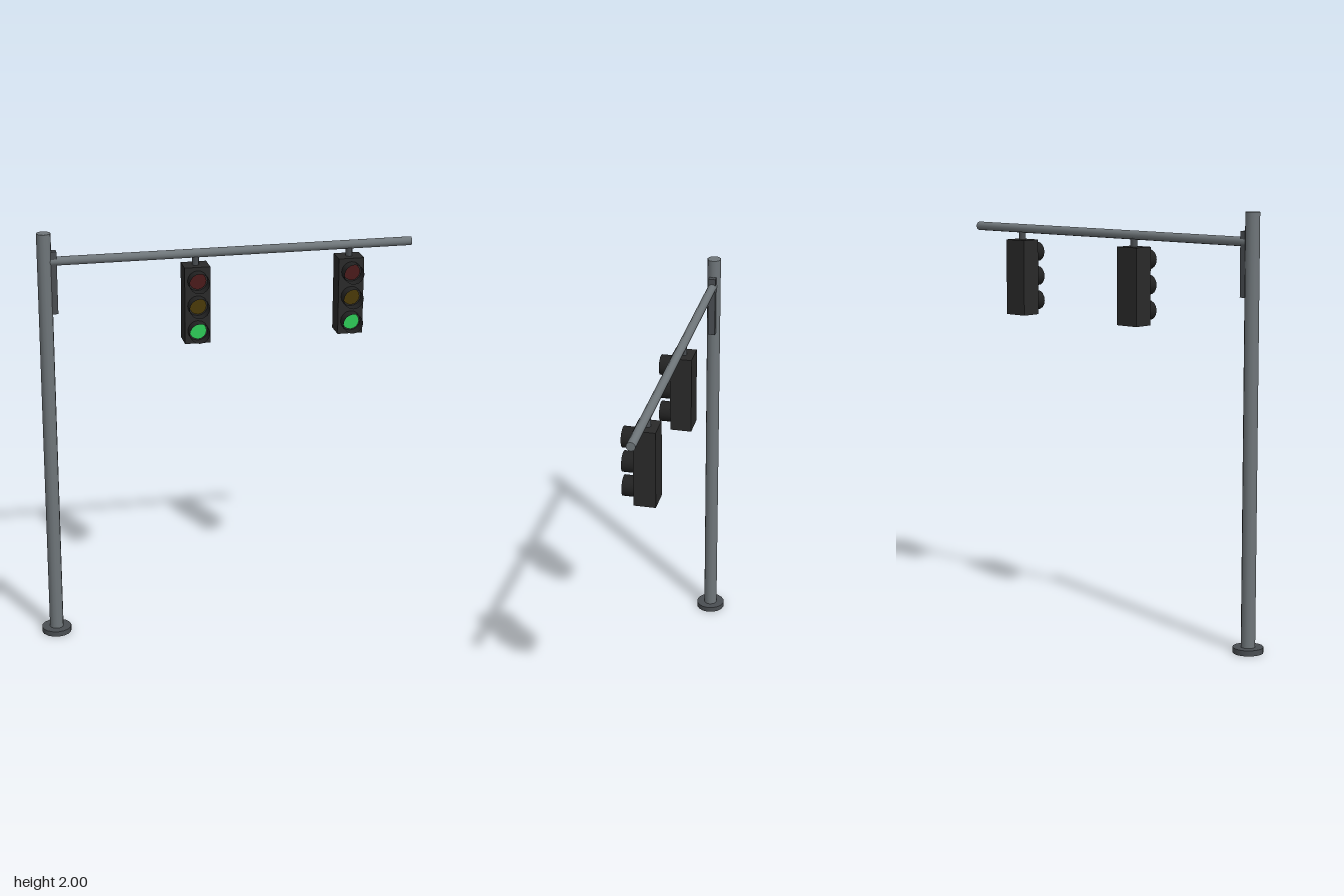
import * as THREE from 'three';

const material = (name, color, side = THREE.FrontSide) => {
  const m = new THREE.MeshStandardMaterial({ color, side });
  m.name = name;
  return m;
};

export function createModel() {
  const steel = material('grey steel', 0x6f767a);
  const darkSteel = material('dark steel', 0x4a4e52);
  const black = material('housing black', 0x2a2a2a);
  const hoodBlack = material('hood black', 0x222222, THREE.DoubleSide);
  const red = material('unlit red', 0x4a1a1a);
  const amber = material('unlit amber', 0x4a3a08);
  const green = material('lit green', 0x2ecc57);

  const model = new THREE.Group();
  model.name = 'trafficLight';
  const assembly = new THREE.Group();
  assembly.name = 'signalMast';
  assembly.position.z = -0.0165;
  model.add(assembly);

  const add = (parent, name, geometry, mat, x, y, z = 0) => {
    const mesh = new THREE.Mesh(geometry, mat);
    mesh.name = name;
    mesh.position.set(x, y, z);
    parent.add(mesh);
    return mesh;
  };
  const cylinder = (r, h, sides = 16, open = false) => new THREE.CylinderGeometry(r, r, h, sides, 1, open);

  // Mast, foot and arm
  const poleX = -0.83;
  add(assembly, 'basePlate', cylinder(0.071, 0.026), darkSteel, poleX, 0.013);
  add(assembly, 'pole', cylinder(0.033, 1.998, 12), steel, poleX, 1.001);
  add(assembly, 'armBracket', new THREE.BoxGeometry(0.035, 0.295, 0.034), darkSteel, -0.7925, 1.767);
  add(assembly, 'arm', cylinder(0.021, 1.705, 12).rotateZ(Math.PI / 2), steel, 0.0475, 1.867);

  // Hanging signal heads
  const lamps = [['redLens', red], ['amberLens', amber], ['greenLens', green]];
  for (const x of [-0.132, 0.6]) {
    const head = new THREE.Group();
    head.name = 'signalHead';
    head.position.set(x, 1.629, 0);
    assembly.add(head);
    add(head, 'hanger', cylinder(0.016, 0.07, 8), darkSteel, 0, 0.21);
    add(head, 'housing', new THREE.BoxGeometry(0.12, 0.367, 0.1), black, 0, 0);
    lamps.forEach(([name, mat], i) => {
      const y = 0.12 * (1 - i);
      add(head, name, cylinder(0.04, 0.008).rotateX(Math.PI / 2), mat, 0, y, 0.053);
      add(head, 'hood', cylinder(0.0475, 0.058, 16, true).rotateX(Math.PI / 2), hoodBlack, 0, y, 0.078);
    });
  }
  return model;
}
